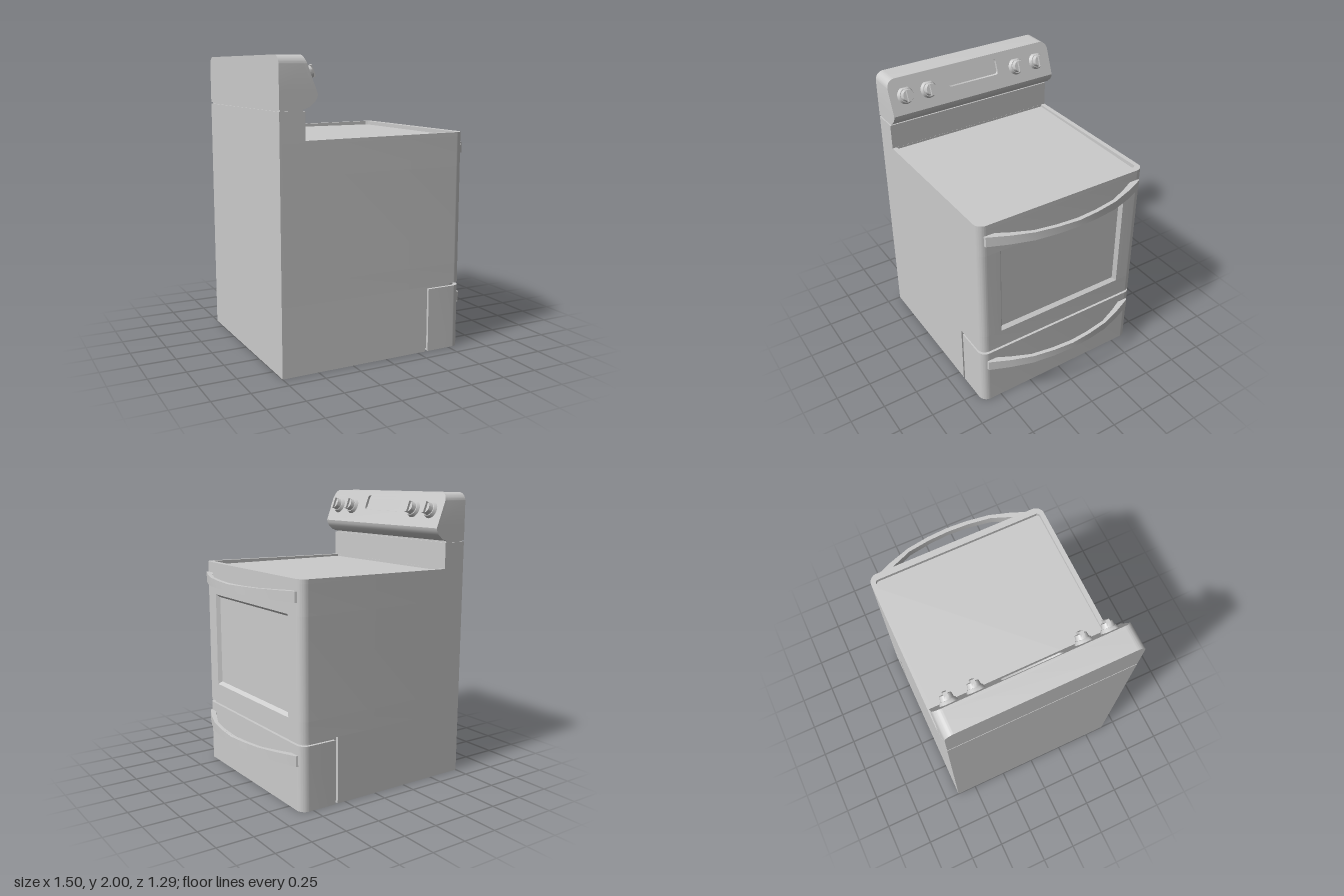
import * as THREE from 'three';
import { toCreasedNormals } from 'three/addons/utils/BufferGeometryUtils.js';

const W = 0.645, BACK = -0.75, FRONT = 0.59;
// x of the sloping control face at height y
const faceX = (y) => -0.495 - (y - 1.765) * 0.383;

export function createModel() {
  const root = new THREE.Group();
  const mat = new THREE.MeshStandardMaterial({ color: 0xcccccc });

  const add = (name, geo, parent = root, crease = 0.6) => {
    const flat = geo.index ? geo.toNonIndexed() : geo;
    flat.computeVertexNormals();
    const mesh = new THREE.Mesh(toCreasedNormals(flat, crease), mat);
    mesh.name = name;
    parent.add(mesh);
    return mesh;
  };
  const poly = (pts) => new THREE.Shape(pts.map((p) => new THREE.Vector2(...p)));
  const extrude = (shape, depth) =>
    new THREE.ExtrudeGeometry(shape, { depth, bevelEnabled: false, curveSegments: 8 });
  // plan outline raised from y0 to y1
  const raise = (shape, y0, y1) => extrude(shape, y1 - y0).rotateX(-Math.PI / 2).translate(0, y0, 0);
  // side profile (x, y) swept across the width
  const sweep = (pts, half) => extrude(poly(pts), half * 2).translate(0, 0, -half);
  const box = (name, x0, x1, y0, y1, half) =>
    add(name, new THREE.BoxGeometry(x1 - x0, y1 - y0, half * 2).translate((x0 + x1) / 2, (y0 + y1) / 2, 0));
  // move vertices by a rule
  const warp = (geo, rule) => {
    const p = geo.attributes.position, v = new THREE.Vector3();
    for (let i = 0; i < p.count; i++) {
      rule(v.fromBufferAttribute(p, i));
      p.setXYZ(i, v.x, v.y, v.z);
    }
    return geo;
  };
  // plan with rounded front corners, optionally notched for the window
  const plan = (x0, notch = [], x1 = FRONT, w = W, r = 0.06) => {
    const s = new THREE.Shape();
    s.moveTo(x0, -w);
    s.lineTo(x1 - r, -w);
    s.absarc(x1 - r, -w + r, r, -Math.PI / 2, 0, false);
    notch.forEach(([x, z]) => s.lineTo(x, z));
    s.absarc(x1 - r, w - r, r, 0, Math.PI / 2, false);
    s.lineTo(x0, w);
    s.closePath();
    return s;
  };

  // cabinet and oven door with recessed window
  box('lowerCabinet', BACK, 0.31, 0, 0.46, W);
  add('doorBottom', raise(plan(BACK), 0.46, 0.6));
  const notch = [[FRONT, -0.49], [0.565, -0.47], [0.565, 0.47], [FRONT, 0.49]];
  add('doorWindowBand', raise(plan(BACK, notch), 0.6, 1.27));
  add('doorTop', raise(plan(BACK), 1.27, 1.472));
  add('windowUpperBevel', sweep([[0.565, 1.25], [FRONT, 1.27], [0.565, 1.27]], 0.485));
  add('windowLowerBevel', sweep([[0.565, 0.6], [FRONT, 0.6], [0.565, 0.62]], 0.485));

  // cooktop rim, rising slightly to the front
  const rim = plan(-0.58);
  rim.holes.push(new THREE.Path([[-0.579, -0.612], [-0.579, 0.612], [0.53, 0.612], [0.545, 0.597],
    [0.545, -0.597], [0.53, -0.612]].map((p) => new THREE.Vector2(...p))));
  add('cooktopRim', warp(raise(rim, 1.47, 1.49), (v) => {
    if (v.y > 1.48) v.y = 1.487 + (v.x + 0.58) * 0.011;
  }));

  // storage drawer with a shadow gap around it
  add('drawerCore', raise(plan(0.3, [], 0.57, 0.625), 0.015, 0.465));
  add('drawer', raise(plan(0.33), 0, 0.44));

  // bowed handles, thinner in height at the middle
  const outer = [[0.59, 0.605], [0.605, 0.6], [0.665, 0.46], [0.715, 0.31], [0.74, 0.15], [0.75, 0]];
  const inner = [[0.72, 0], [0.712, 0.15], [0.688, 0.31], [0.635, 0.44], [0.59, 0.53]];
  const mirror = (pts) => pts.slice().reverse().filter((p) => p[1] > 0).map(([x, z]) => [x, -z]);
  const handlePlan = poly([...outer, ...mirror(outer), ...inner.slice().reverse().map(([x, z]) => [x, -z]),
    ...inner.slice(1)]);
  for (const [name, y] of [['ovenHandle', 1.39], ['drawerHandle', 0.34]]) {
    const geo = warp(raise(handlePlan, -1, 1), (v) => {
      v.y *= 0.024 + 0.012 * Math.min(1, Math.abs(v.z) / 0.6);
    });
    add(name, geo, root, 0.35).position.y = y;
  }

  // back riser and neck below the control panel
  box('backRiser', BACK, -0.58, 1.47, 1.665, W);
  box('panelNeck', BACK + 0.01, -0.59, 1.66, 1.68, W - 0.01);

  // control panel: lower chin, back housing and sloping face with display recess
  add('panelChin', sweep([[BACK, 1.677], [-0.585, 1.677], [-0.55, 1.69], [-0.515, 1.72], [-0.5, 1.745],
    [-0.495, 1.765], [BACK, 1.765]], W));
  const panelShape = () => {
    const s = new THREE.Shape(), r = 0.06;
    s.moveTo(-W, 1.765);
    s.lineTo(W, 1.765);
    s.absarc(W - r, 2 - r, r, 0, Math.PI / 2, false);
    s.absarc(-W + r, 2 - r, r, Math.PI / 2, Math.PI, false);
    s.closePath();
    return s;
  };
  const panelPart = (shape, backAt, frontAt) =>
    warp(extrude(shape, 1).rotateY(Math.PI / 2), (v) => {
      v.x = v.x > 0.5 ? frontAt(v.y) : backAt(v.y);
    });
  const recessX = (y) => faceX(y) - 0.02;
  add('panelHousing', panelPart(panelShape(), () => BACK, recessX));
  const face = panelShape(), hole = new THREE.Path(), hr = 0.02;
  hole.absarc(0.2 - hr, 1.965 - hr, hr, Math.PI / 2, 0, true);
  hole.absarc(0.2 - hr, 1.86 + hr, hr, 0, -Math.PI / 2, true);
  hole.absarc(-0.2 + hr, 1.86 + hr, hr, -Math.PI / 2, -Math.PI, true);
  hole.absarc(-0.2 + hr, 1.965 - hr, hr, Math.PI, Math.PI / 2, true);
  hole.closePath();
  face.holes.push(hole);
  add('panelFace', panelPart(face, recessX, faceX));

  // knobs: teardrop base, round cap and grip bar, pointing out of the sloping face
  const tear = new THREE.Shape();
  tear.moveTo(0, 0.08);
  tear.absarc(0, 0, 0.06, Math.PI * 0.65, Math.PI * 2.35, false);
  tear.closePath();
  for (const z of [-0.53, -0.355, 0.355, 0.53]) {
    const knob = new THREE.Group();
    knob.name = 'knob';
    add('knobBase', warp(extrude(tear, 0.022), (v) => {
      if (v.z > 0.01) { v.x *= 0.82; v.y *= 0.82; }
    }), knob);
    add('knobCap', new THREE.CylinderGeometry(0.038, 0.044, 0.035, 24).rotateX(Math.PI / 2).translate(0, 0, 0.037), knob);
    add('knobGrip', new THREE.BoxGeometry(0.026, 0.078, 0.05).translate(0, 0, 0.046), knob);
    knob.rotation.set(-Math.atan(0.383), Math.PI / 2, 0, 'YXZ');
    knob.position.set(faceX(1.882), 1.882, z);
    root.add(knob);
  }
  return root;
}
